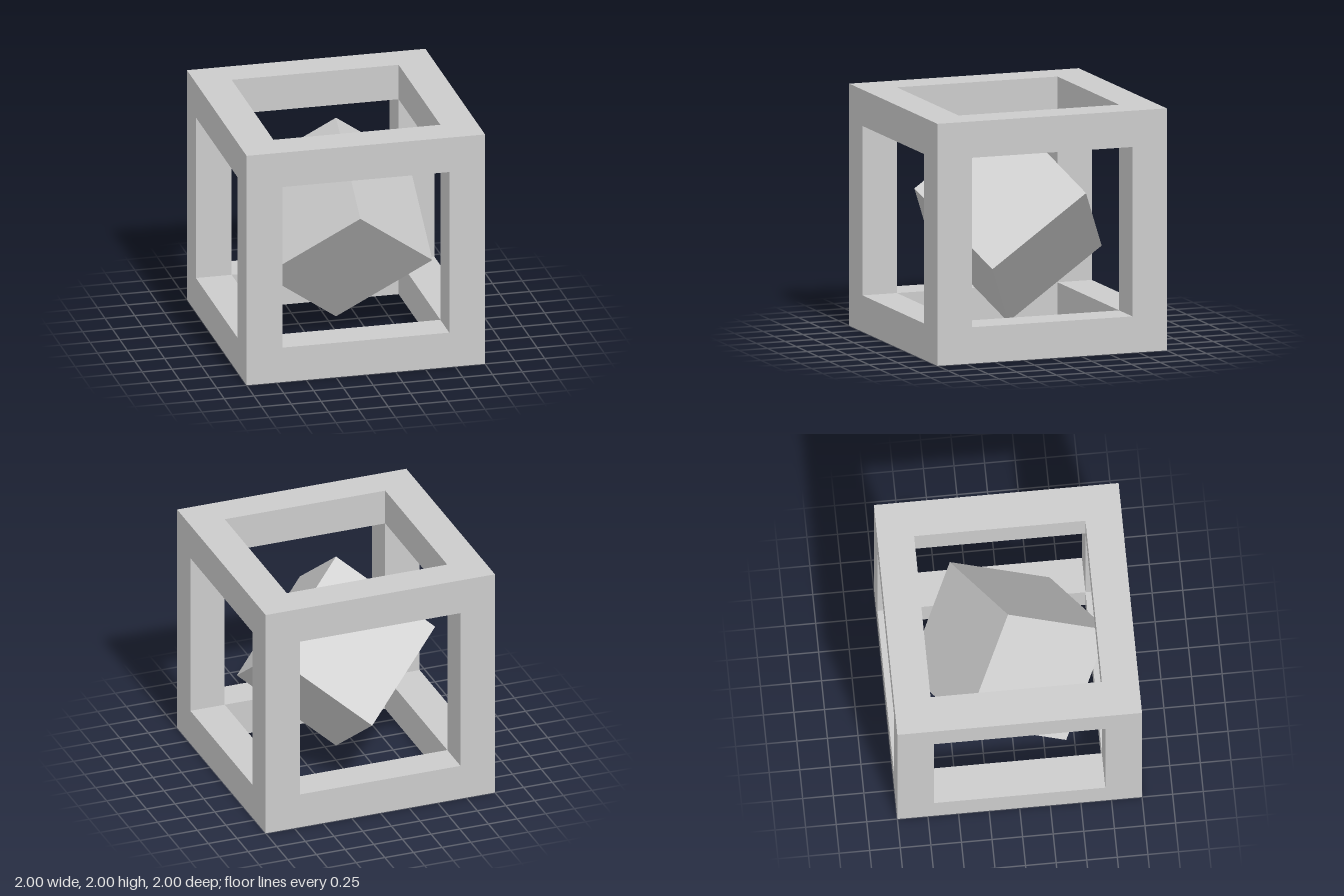
import * as THREE from 'three';
import { mergeGeometries } from 'three/addons/utils/BufferGeometryUtils.js';

const HALF = 1;      // half the outer size of the frame
const OPEN = 0.7;    // half the size of each square opening
const CUBE = 1;      // edge of the inner cube

const square = (Type, r) => new Type([
  new THREE.Vector2(-r, -r), new THREE.Vector2(r, -r),
  new THREE.Vector2(r, r), new THREE.Vector2(-r, r),
]);

// One side of the frame: a flat square ring and the four walls of its opening
function frameSide() {
  const ring = square(THREE.Shape, HALF);
  ring.holes.push(square(THREE.Path, OPEN));
  const parts = [new THREE.ShapeGeometry(ring).translate(0, 0, HALF)];
  for (let i = 0; i < 4; i++) {
    parts.push(new THREE.PlaneGeometry(2 * OPEN, HALF - OPEN)
      .rotateX(-Math.PI / 2)
      .translate(0, -OPEN, (HALF + OPEN) / 2)
      .rotateZ(i * Math.PI / 2));
  }
  return mergeGeometries(parts);
}

export function createModel() {
  const group = new THREE.Group();
  const material = new THREE.MeshStandardMaterial({ color: 0xcccccc, flatShading: true });

  // Hollow cube frame: the same side turned to all six directions
  const sides = [];
  for (let i = 0; i < 4; i++) sides.push(frameSide().rotateY(i * Math.PI / 2));
  for (const s of [-1, 1]) sides.push(frameSide().rotateX(s * Math.PI / 2));
  const frame = new THREE.Mesh(mergeGeometries(sides), material);
  frame.name = 'cubeFrame';

  // Solid cube balanced on one corner, its body diagonal vertical
  const cubeGeometry = new THREE.BoxGeometry(CUBE, CUBE, CUBE)
    .rotateZ(Math.PI / 4)
    .rotateX(Math.atan(Math.SQRT1_2));
  const cube = new THREE.Mesh(cubeGeometry, material);
  cube.name = 'innerCube';

  for (const mesh of [frame, cube]) {
    mesh.position.y = HALF;
    group.add(mesh);
  }
  return group;
}
